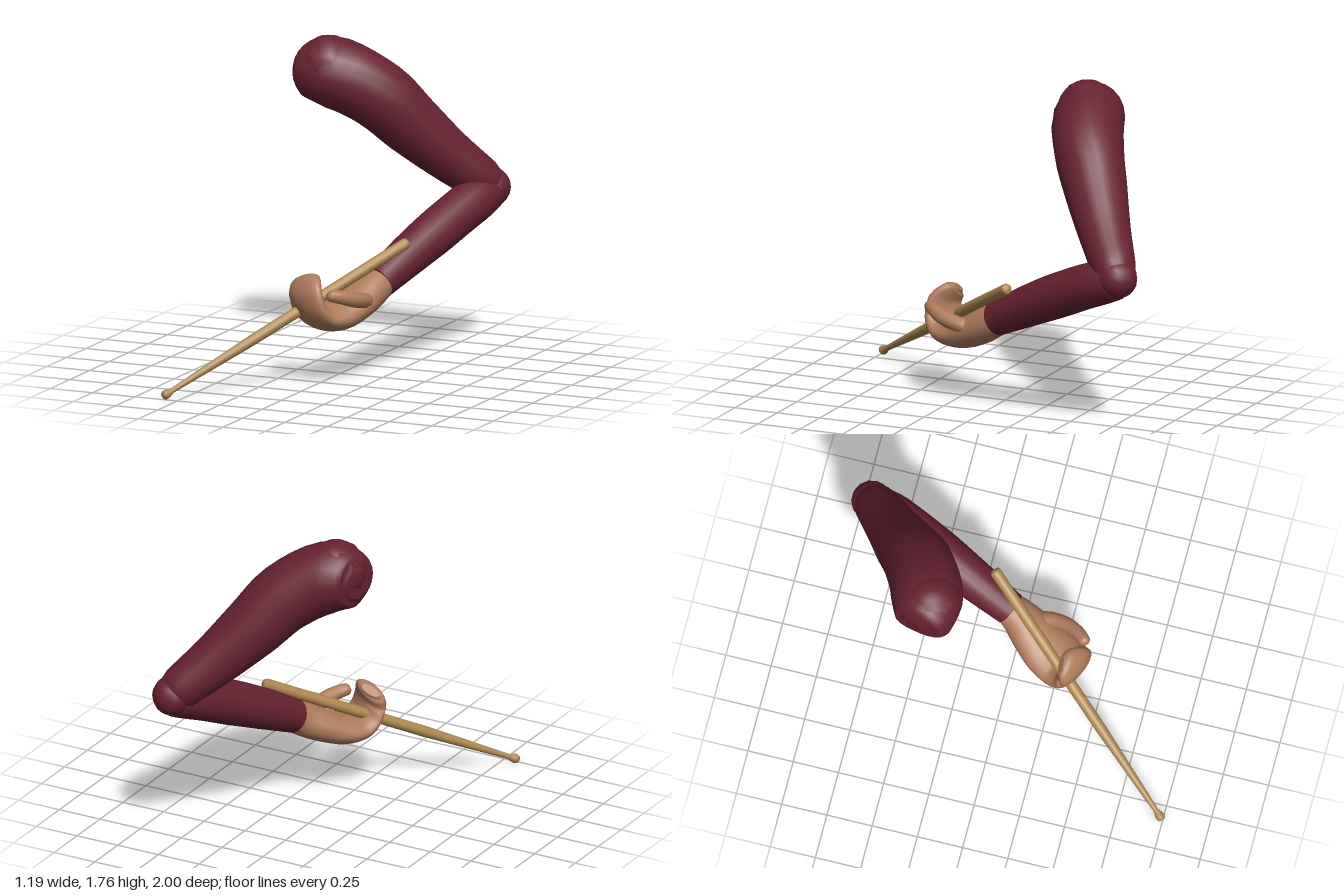
import * as THREE from 'three';

const sleeve = new THREE.MeshStandardMaterial({ color: 0x672230 });
sleeve.name = 'burgundy sleeve';
const skin = new THREE.MeshStandardMaterial({ color: 0xae7b5c });
skin.name = 'skin';
const wood = new THREE.MeshStandardMaterial({ color: 0xae874f });
wood.name = 'wood';

// Sweep of elliptical sections [x, y, z, halfWidth, halfThickness], width along side.
function sweep(sections, side, sides = 20, steps = 4) {
  const path = new THREE.CatmullRomCurve3(sections.map(s => new THREE.Vector3(s[0], s[1], s[2])));
  const size = new THREE.CatmullRomCurve3(sections.map(s => new THREE.Vector3(s[3], s[4] ?? s[3], 0)));
  const rings = (sections.length - 1) * steps;
  const pos = [], index = [];
  const ring = i => {
    const c = path.getPoint(i / rings), r = size.getPoint(i / rings);
    const t = path.getTangent(i / rings);
    const s = new THREE.Vector3(...side).addScaledVector(t, -t.dot(new THREE.Vector3(...side))).normalize();
    const n = t.clone().cross(s);
    for (let j = 0; j < sides; j++) {
      const a = j / sides * Math.PI * 2;
      const p = c.clone().addScaledVector(s, Math.cos(a) * r.x).addScaledVector(n, Math.sin(a) * r.y);
      pos.push(p.x, p.y, p.z);
    }
    return c;
  };
  for (let i = 0; i <= rings; i++) ring(i);
  for (let i = 0; i < rings; i++) {
    for (let j = 0; j < sides; j++) {
      const k = (j + 1) % sides, a = i * sides, b = a + sides;
      index.push(a + j, a + k, b + j, a + k, b + k, b + j);
    }
  }
  // end caps on their own vertices, so the rims stay crisp
  for (const end of [0, rings]) {
    const base = pos.length / 3;
    const c = ring(end);
    pos.push(c.x, c.y, c.z);
    for (let j = 0; j < sides; j++) {
      const k = (j + 1) % sides;
      if (end) index.push(base + sides, base + j, base + k);
      else index.push(base + sides, base + k, base + j);
    }
  }
  const g = new THREE.BufferGeometry();
  g.setAttribute('position', new THREE.Float32BufferAttribute(pos, 3));
  g.setIndex(index);
  g.computeVertexNormals();
  return g;
}

export function createModel() {
  const model = new THREE.Group();
  model.name = 'armWithStick';
  const add = (name, geometry, material, parent = model) => {
    const m = new THREE.Mesh(geometry, material);
    m.name = name;
    parent.add(m);
    return m;
  };

  // sleeve: upper arm, forearm and the rounded joints
  add('upperArm', sweep([
    [-0.39, 1.56, -0.39, 0.1],
    [-0.36, 1.56, -0.385, 0.155],
    [-0.2, 1.545, -0.4, 0.195],
    [0, 1.425, -0.495, 0.188],
    [0.14, 1.26, -0.6, 0.17],
    [0.3, 1.08, -0.725, 0.142],
    [0.45, 0.93, -0.85, 0.118],
    [0.5, 0.885, -0.895, 0.085],
    [0.515, 0.87, -0.905, 0.03],
  ], [0, 1, 0]), sleeve);
  add('shoulder', new THREE.SphereGeometry(0.17, 12, 9), sleeve).position.set(-0.24, 1.585, -0.375);
  add('elbow', new THREE.SphereGeometry(0.11, 14, 10), sleeve).position.set(0.48, 0.89, -0.88);
  add('forearm', sweep([
    [0.49, 0.885, -0.91, 0.05],
    [0.48, 0.875, -0.88, 0.1],
    [0.44, 0.835, -0.74, 0.122],
    [0.36, 0.73, -0.5, 0.123],
    [0.28, 0.62, -0.27, 0.113],
    [0.205, 0.505, -0.045, 0.094],
  ], [1, 0, 0]), sleeve);

  // hand: cupped palm with the joined fingers curling up, and a thumb
  const hand = new THREE.Group();
  hand.name = 'hand';
  model.add(hand);
  add('palmAndFingers', sweep([
    [0.22, 0.53, -0.1, 0.08, 0.08],
    [0.19, 0.475, 0.0, 0.1, 0.092],
    [0.135, 0.415, 0.1, 0.13, 0.09],
    [0.07, 0.365, 0.21, 0.15, 0.08],
    [0.02, 0.365, 0.3, 0.15, 0.065],
    [-0.015, 0.42, 0.355, 0.14, 0.052],
    [-0.035, 0.5, 0.365, 0.125, 0.048],
    [-0.06, 0.56, 0.325, 0.095, 0.042],
    [-0.067, 0.575, 0.305, 0.055, 0.022],
  ], [0.9, 0, 0.43], 24), skin, hand);
  add('thumb', sweep([
    [0.18, 0.43, 0.05, 0.04],
    [0.215, 0.445, 0.15, 0.043],
    [0.205, 0.47, 0.26, 0.042],
    [0.165, 0.495, 0.34, 0.038],
    [0.12, 0.51, 0.39, 0.032],
    [0.108, 0.515, 0.4, 0.015],
  ], [0, 1, 0], 12), skin, hand);

  // tapered stick with a small bead at the tip
  const tip = new THREE.Vector3(-0.588, 0.012, 1.0);
  const butt = new THREE.Vector3(0.325, 0.715, -0.165);
  const axis = butt.clone().sub(tip), length = axis.length();
  const profile = [
    [0, 0], [0.018, 0.004], [0.026, 0.018], [0.024, 0.035], [0.014, 0.065],
    [0.016, 0.12], [0.03, 0.6], [0.031, length - 0.02], [0.024, length - 0.004], [0, length],
  ].map(p => new THREE.Vector2(...p));
  const stick = add('stick', new THREE.LatheGeometry(profile, 14), wood);
  stick.position.copy(tip);
  stick.quaternion.setFromUnitVectors(new THREE.Vector3(0, 1, 0), axis.normalize());

  return model;
}
